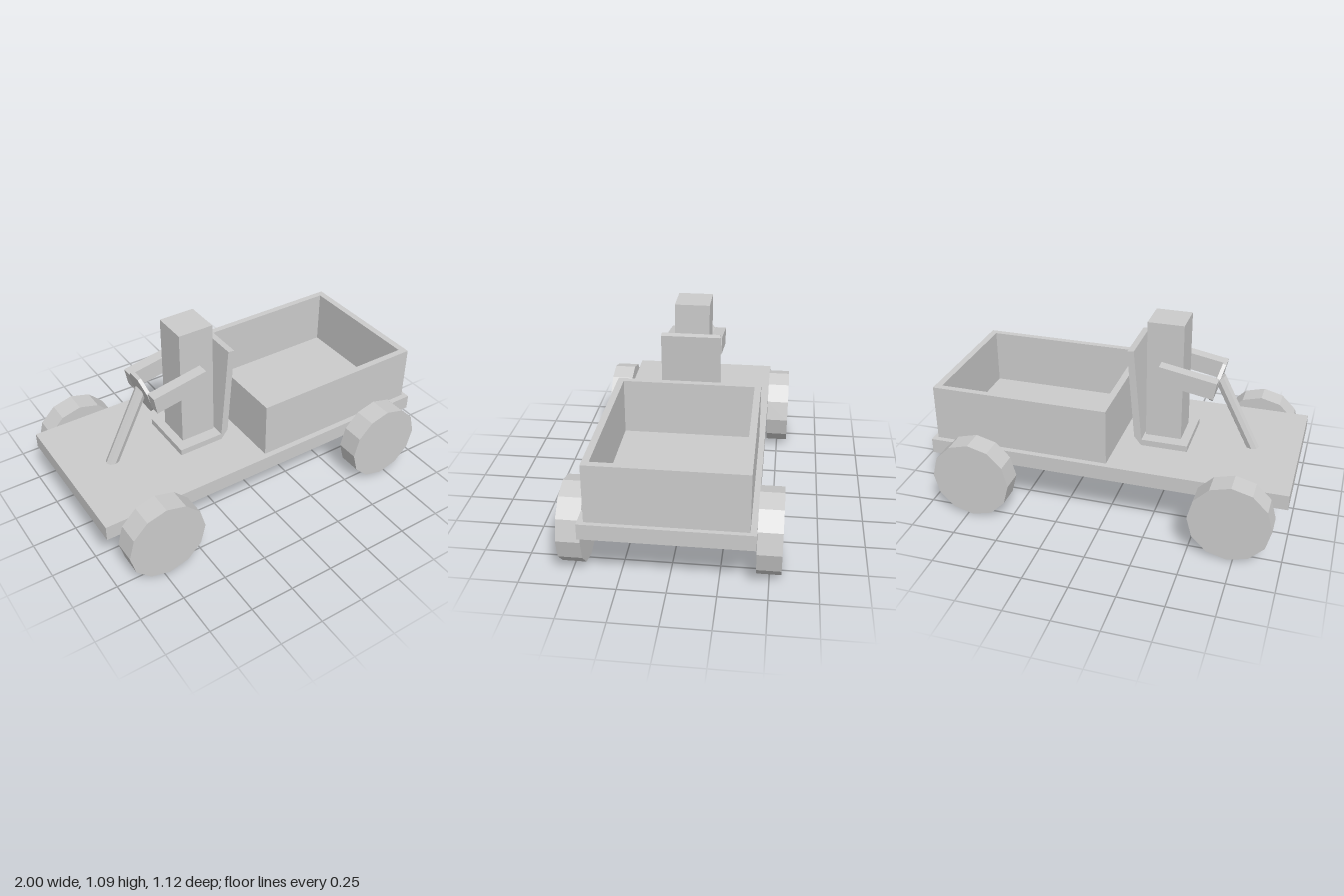
import * as THREE from 'three';

const material = new THREE.MeshStandardMaterial({ color: 0xcccccc, flatShading: true });

export function createModel() {
  const model = new THREE.Group();
  model.name = 'cart';

  const add = (name, geometry, x = 0, y = 0, z = 0, tilt = 0) => {
    const mesh = new THREE.Mesh(geometry, material);
    mesh.name = name;
    mesh.position.set(x, y, z);
    mesh.rotation.z = tilt;
    model.add(mesh);
    return mesh;
  };
  const box = (w, h, d) => new THREE.BoxGeometry(w, h, d);

  // Flat deck
  add('deck', box(2, 0.085, 0.87), 0, 0.3275, 0);

  // Axle beams with a twelve-sided wheel at each end
  const wheel = new THREE.CylinderGeometry(0.222, 0.222, 0.125, 12).rotateX(Math.PI / 2);
  for (const x of [-0.72, 0.72]) {
    add('axleBeam', box(0.16, 0.12, 0.87), x, 0.225, 0);
    for (const side of [-1, 1]) add('wheel', wheel, x, 0.222, side * 0.4975);
  }

  // Open cargo box: a rectangular frame standing on the deck
  const rectangle = (path, w, d) => {
    path.moveTo(-w, -d).lineTo(w, -d);
    path.lineTo(w, d).lineTo(-w, d).closePath();
    return path;
  };
  const frame = rectangle(new THREE.Shape(), 0.495, 0.403);
  frame.holes.push(rectangle(new THREE.Path(), 0.457, 0.367));
  const walls = new THREE.ExtrudeGeometry(frame, { depth: 0.315, bevelEnabled: false });
  add('cargoBox', walls.rotateX(-Math.PI / 2), 0.48, 0.37, 0);

  // Seat and leaning backrest in one bent profile
  const seatProfile = new THREE.Shape([
    [-0.405, 0.37], [-0.145, 0.37], [-0.105, 0.42], [-0.063, 0.932],
    [-0.1, 0.937], [-0.146, 0.405], [-0.405, 0.405],
  ].map(([x, y]) => new THREE.Vector2(x, y)));
  const seat = new THREE.ExtrudeGeometry(seatProfile, { depth: 0.33, bevelEnabled: false });
  add('seat', seat.translate(0, 0, -0.165));

  // Block driver with arms reaching forward
  add('driverBody', box(0.2, 0.68, 0.195), -0.255, 0.745, 0);
  for (const side of [-1, 1]) {
    add('driverArm', box(0.32, 0.097, 0.064), -0.385, 0.788, side * 0.13, 0.182);
  }

  // Slanted column and steering wheel
  add('steeringColumn', new THREE.CylinderGeometry(0.034, 0.034, 0.47, 8), -0.645, 0.56, 0, -0.464);
  const disc = new THREE.CylinderGeometry(0.127, 0.127, 0.02, 8, 1, false, Math.PI / 8);
  add('steeringWheel', disc.scale(1, 1, 0.83), -0.533, 0.755, 0, -1.296);

  return model;
}
